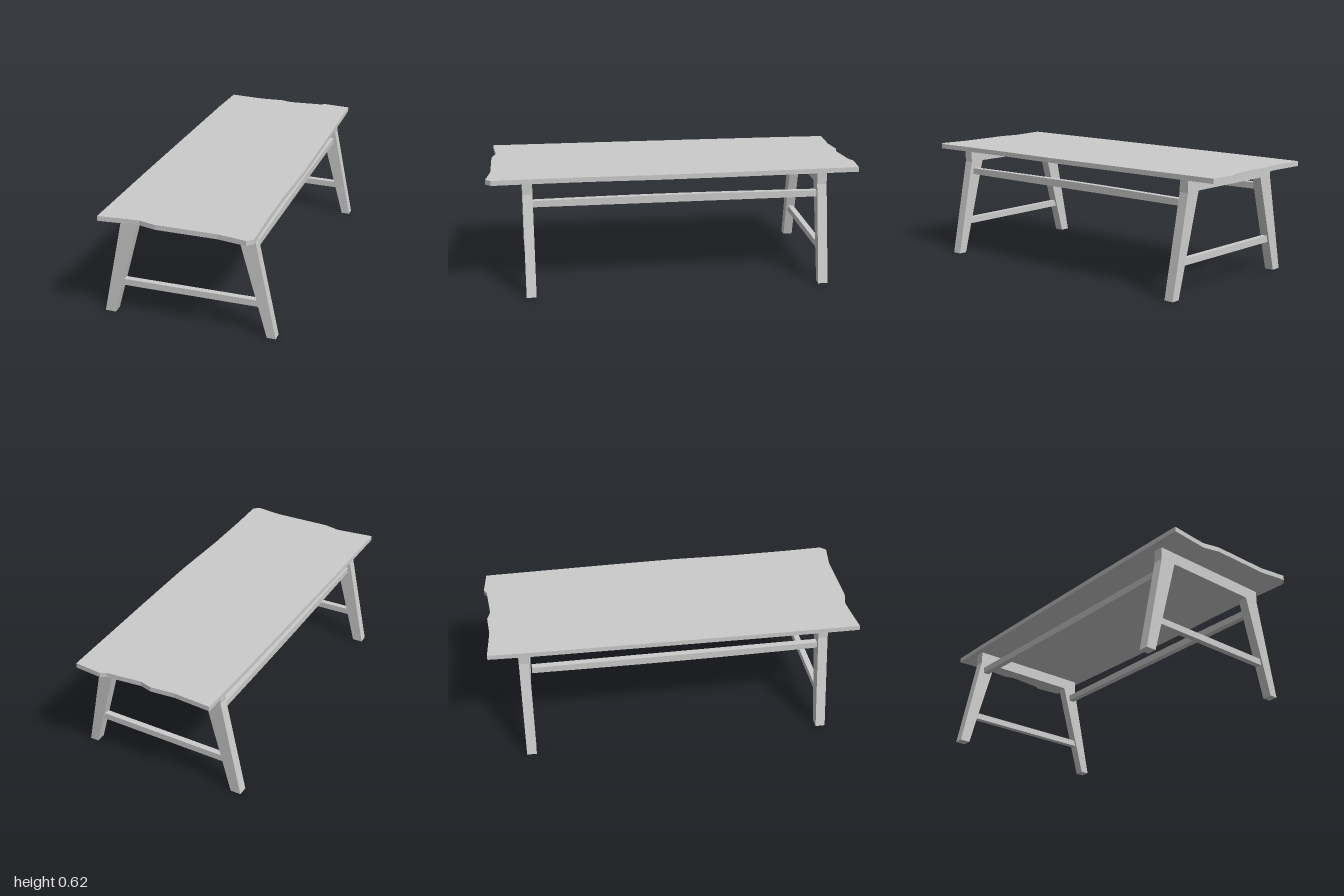
import * as THREE from 'three';

const material = new THREE.MeshStandardMaterial({ color: 0xcccccc, flatShading: true });

function addMesh(parent, name, geometry) {
  const mesh = new THREE.Mesh(geometry, material);
  mesh.name = name;
  parent.add(mesh);
  return mesh;
}

function extrude(points, depth) {
  const shape = new THREE.Shape(points.map(([x, y]) => new THREE.Vector2(x, y)));
  return new THREE.ExtrudeGeometry(shape, { depth, bevelEnabled: false });
}

// Trestle: two splayed legs joined by an apron, with a low stretcher
function createTrestle(name, z, skew) {
  const trestle = new THREE.Group();
  trestle.name = name;
  const outline = [
    [-0.467, 0], [-0.41, 0], [-0.265, 0.532], [0.27, 0.532], [0.418, 0], [0.465, 0],
    [0.355, 0.53], [0.355, 0.597], [-0.355, 0.597], [-0.355, 0.53],
  ];
  addMesh(trestle, 'legFrame', extrude(outline, 0.052).translate(0, 0, -0.026));
  const stretcher = [[-0.367, 0.164], [0.374, 0.164], [0.364, 0.199], [-0.357, 0.199]];
  addMesh(trestle, 'lowStretcher', extrude(stretcher, 0.032).translate(0, 0, -0.016));
  trestle.position.z = z;
  trestle.rotation.y = skew;
  return trestle;
}

// Long rail, a little thicker in the middle as if hand-cut
function createRail(sag) {
  const geometry = new THREE.BoxGeometry(0.034, 0.034, 1.54, 1, 1, 8);
  const p = geometry.attributes.position;
  for (let i = 0; i < p.count; i++) {
    const bow = Math.cos((p.getZ(i) / 1.54) * Math.PI);
    p.setY(i, p.getY(i) * (1 + 0.18 * bow) + sag * bow);
  }
  geometry.computeVertexNormals();
  return geometry;
}

export function createModel() {
  const table = new THREE.Group();
  table.name = 'table';

  // Tabletop with wavy, rough-sawn ends, as x and z
  const edge = [
    [-0.38, -0.99], [-0.18, -0.975], [-0.05, -0.985], [0.01, -0.968], [0.2, -0.984],
    [0.23, -1], [0.38, -0.985], [0.385, -0.72], [0.393, -0.3], [0.398, 0.1],
    [0.39, 0.45], [0.393, 0.75], [0.4, 0.97], [0.37, 0.998], [0.22, 0.975], [-0.1, 0.975],
    [-0.19, 0.953], [-0.3, 0.962], [-0.405, 0.972], [-0.402, 0.4], [-0.395, -0.2], [-0.388, -0.75],
  ];
  const top = extrude(edge.map(([x, z]) => [x, -z]), 0.026);
  addMesh(table, 'tabletop', top.rotateX(-Math.PI / 2).translate(0, 0.597, 0));

  table.add(createTrestle('frontTrestle', 0.788, 0.008));
  table.add(createTrestle('backTrestle', -0.8, -0.025));

  // Rails joining the trestles near the top of the legs
  for (const side of [-1, 1]) {
    const rail = addMesh(table, side > 0 ? 'leftRail' : 'rightRail', createRail(side * 0.003));
    rail.position.set(side * 0.328, 0.475, 0);
  }
  return table;
}
